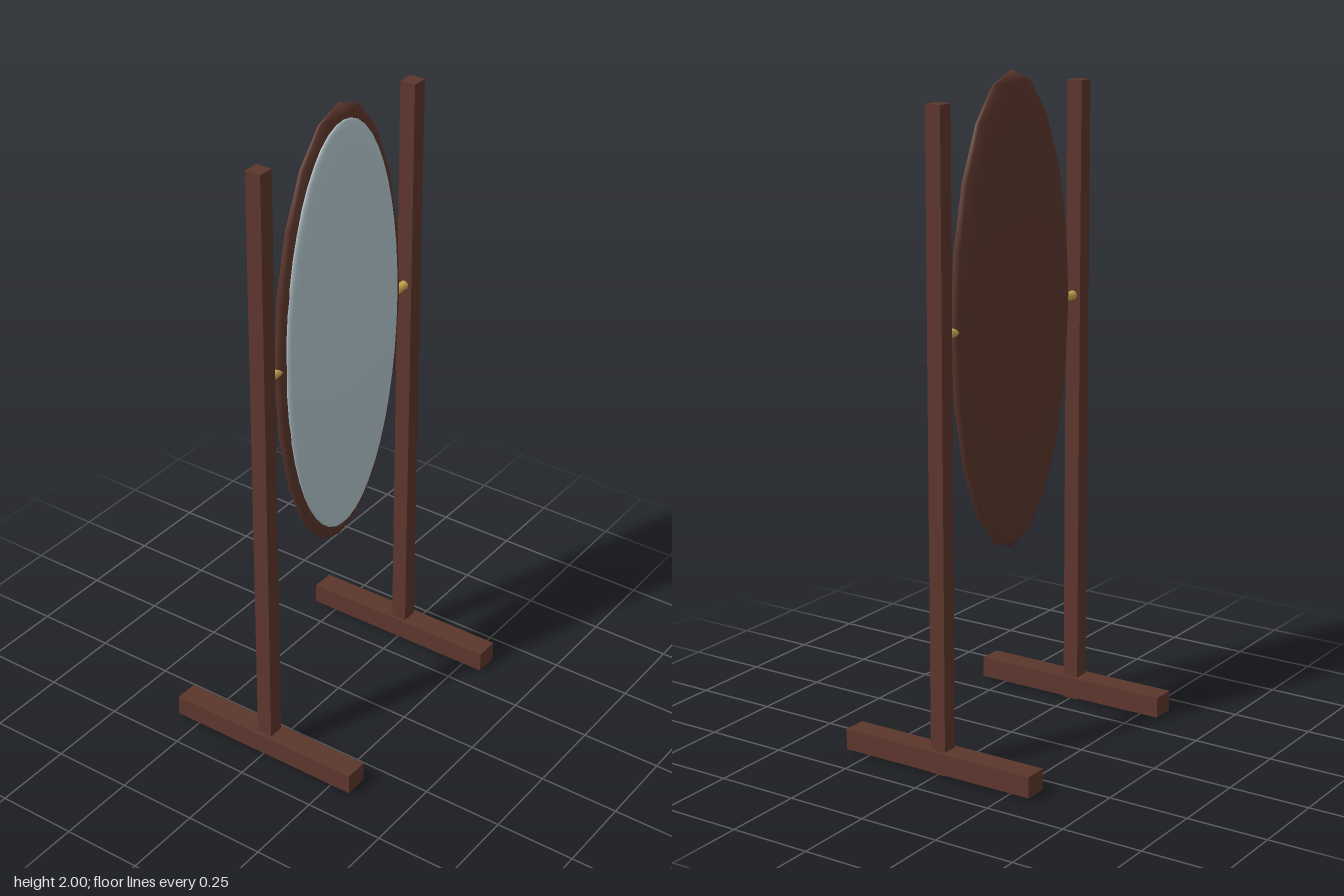
import * as THREE from 'three';

const material = (name, color) => {
  const m = new THREE.MeshStandardMaterial({ color });
  m.name = name;
  return m;
};

export function createModel() {
  const wood = material('dark wood', 0x5c362c);
  const glass = material('mirror glass', 0xb4c8ce);
  const brass = material('brass', 0xc8a650);

  const group = new THREE.Group();
  group.name = 'standingMirror';
  const pivotY = 1.295;

  const add = (name, geometry, mat, x, y, z) => {
    const mesh = new THREE.Mesh(geometry, mat);
    mesh.name = name;
    mesh.position.set(x, y, z);
    group.add(mesh);
    return mesh;
  };

  // Flattened oval frame, with the glass bulging out of its front
  add('mirrorFrame', new THREE.SphereGeometry(1, 20, 10).scale(0.305, 0.705, 0.04), wood, 0, pivotY, 0);
  add('mirrorGlass', new THREE.SphereGeometry(1, 40, 24).scale(0.272, 0.658, 0.03), glass, 0, pivotY, 0.016);

  // Post, foot and pivot pin on each side
  for (const [side, s] of [['left', 1], ['right', -1]]) {
    add(side + 'Post', new THREE.BoxGeometry(0.05, 1.94, 0.05), wood, s * 0.36, 0.97, 0);
    add(side + 'Foot', new THREE.BoxGeometry(0.075, 0.064, 0.644), wood, s * 0.361, 0.041, 0);
    const pin = new THREE.CylinderGeometry(0.014, 0.014, 0.09, 12).rotateZ(Math.PI / 2);
    add(side + 'PivotPin', pin, brass, s * 0.305, pivotY, 0);
  }
  return group;
}
